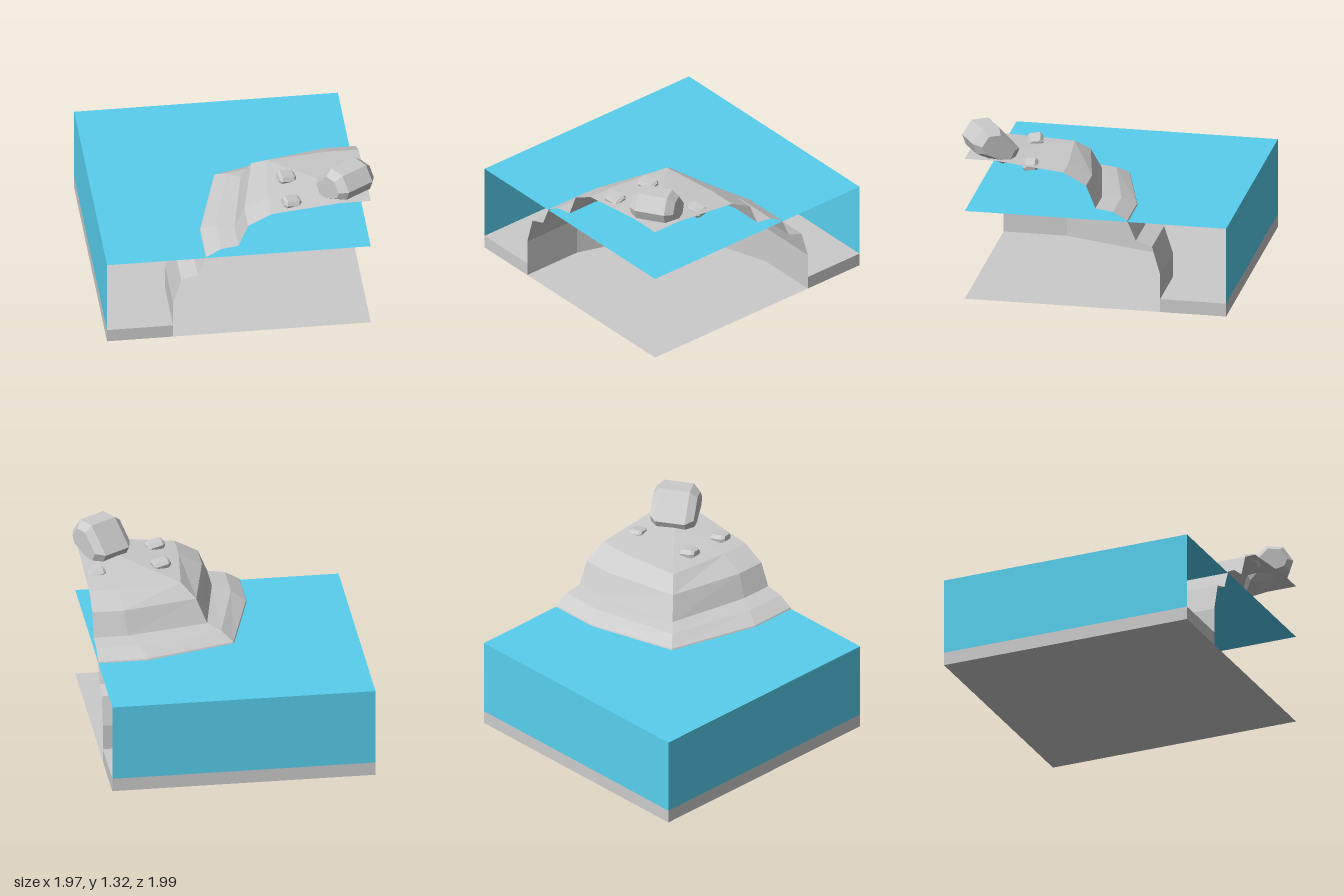
import * as THREE from 'three';
import { ConvexGeometry } from 'three/addons/geometries/ConvexGeometry.js';

const X0 = -0.985, X1 = 0.95, Z0 = -1, Z1 = 0.94;
const rock = new THREE.MeshStandardMaterial({ color: 0xcccccc, flatShading: true, side: THREE.DoubleSide });
const blue = new THREE.MeshStandardMaterial({ color: 0x58cfee, side: THREE.DoubleSide });

function add(parent, name, geometry, material) {
  const mesh = new THREE.Mesh(geometry, material);
  mesh.name = name;
  parent.add(mesh);
  return mesh;
}

// Contour of the cliff at one level, from the front cut round the corner to the right cut
// e: straight edge, c: corner, k: where the straight edge starts to bend
const contour = (e, c, k) => [[e, Z1], [e, k], [c, c - 0.01], [k, e - 0.01], [X1, e - 0.01]];

// Cliff skin lofted through its terrace levels: [y, e, c, k]
function cliffGeometry() {
  const levels = [
    [0.1, -0.5, -0.26, 0.47], [0.29, -0.5, -0.26, 0.47], [0.5, -0.44, -0.2, 0.5],
    [0.54, -0.32, -0.12, 0.55], [0.69, -0.255, -0.07, 0.58], [0.75, -0.15, 0.01, 0.63],
    [0.77, -0.02, 0.1, 0.7], [0.94, 0.05, 0.17, 0.72], [1.03, 0.22, 0.27, 0.73],
    [1.085, 0.72, 0.72, 0.73],
  ];
  const rows = levels.map(([y, e, c, k]) => contour(e, c, k).map(([x, z]) => new THREE.Vector3(x, y, z)));
  // Flat summit up to the cut corner
  rows.push(rows[0].map(() => new THREE.Vector3(X1, 1.085, Z1)));
  const points = [];
  for (let i = 0; i < rows.length - 1; i++) {
    for (let j = 0; j < 4; j++) {
      const a = rows[i][j], b = rows[i][j + 1], c = rows[i + 1][j + 1], d = rows[i + 1][j];
      for (const tri of [[a, d, b], [b, d, c]]) {
        const t = new THREE.Triangle(...tri);
        if (t.getArea() > 1e-6) points.push(...tri);
      }
    }
  }
  const geometry = new THREE.BufferGeometry().setFromPoints(points);
  geometry.computeVertexNormals();
  return geometry;
}

// Convex stone: a side profile (along, up) widened to both sides, with chamfered flanks
function stoneGeometry(profile, inner, outer, shrink) {
  const mid = profile.reduce((s, p) => [s[0] + p[0] / profile.length, s[1] + p[1] / profile.length], [0, 0]);
  const points = [];
  for (const side of [-1, 1]) {
    for (const [u, y] of profile) {
      points.push(new THREE.Vector3(side * inner, y, u));
      points.push(new THREE.Vector3(side * outer,
        mid[1] + (y - mid[1]) * shrink, mid[0] + (u - mid[0]) * shrink));
    }
  }
  return new ConvexGeometry(points);
}

export function createModel() {
  const group = new THREE.Group();
  group.name = 'coastalCliffCorner';
  const foot = contour(-0.5, -0.26, 0.47);

  // L-shaped seabed slab around the cliff foot
  const bed = new THREE.Shape([[X1, Z0], [X0, Z0], [X0, Z1], ...foot].map(p => new THREE.Vector2(...p)));
  const bedGeometry = new THREE.ExtrudeGeometry(bed, { depth: 0.1, bevelEnabled: false });
  bedGeometry.rotateX(Math.PI / 2).translate(0, 0.1, 0);
  add(group, 'seabed', bedGeometry, rock);

  // Thin floor under the hollow cliff
  const floor = new THREE.Shape([...foot, [X1, Z1]].map(p => new THREE.Vector2(...p)));
  add(group, 'cliffFloor', new THREE.ShapeGeometry(floor).rotateX(Math.PI / 2), rock);

  add(group, 'cliff', cliffGeometry(), rock);

  // Water: surface plus the two outer walls
  const w = X1 - X0, d = Z1 - Z0, cx = (X0 + X1) / 2, cz = (Z0 + Z1) / 2;
  const water = new THREE.Group();
  water.name = 'water';
  group.add(water);
  add(water, 'waterSurface', new THREE.PlaneGeometry(w, d).rotateX(-Math.PI / 2).translate(cx, 0.68, cz), blue);
  add(water, 'waterBackWall', new THREE.PlaneGeometry(w, 0.58).rotateY(Math.PI).translate(cx, 0.39, Z0), blue);
  add(water, 'waterSideWall', new THREE.PlaneGeometry(d, 0.58).rotateY(-Math.PI / 2).translate(X0, 0.39, cz), blue);

  // Leaning boulder on the summit
  const boulder = add(group, 'boulder', stoneGeometry(
    [[-0.14, 1.035], [-0.19, 1.13], [-0.03, 1.315], [0.1, 1.315], [0.175, 1.21], [0.145, 1.13], [-0.06, 1.03]],
    0.11, 0.165, 0.7), rock);
  boulder.position.set(0.785, 0, 0.786);
  boulder.rotation.y = 0.56;

  // Small stones: x, y, z, turn, scale
  const pebbleProfile = [[-0.05, -0.03], [-0.06, 0], [-0.04, 0.028], [0.04, 0.028], [0.06, 0], [0.05, -0.03]];
  const pebbles = [[0.38, 1.062, 0.53, 0.2, 1], [0.38, 1.062, 0.84, 0.2, 1], [0.86, 1.048, 0.47, 0.15, 0.95]];
  for (const [x, y, z, turn, scale] of pebbles) {
    const pebble = add(group, 'pebble', stoneGeometry(pebbleProfile, 0.045, 0.066, 0.65), rock);
    pebble.position.set(x, y, z);
    pebble.rotation.set(0.1, turn, -0.2);
    pebble.scale.setScalar(scale);
  }
  return group;
}
